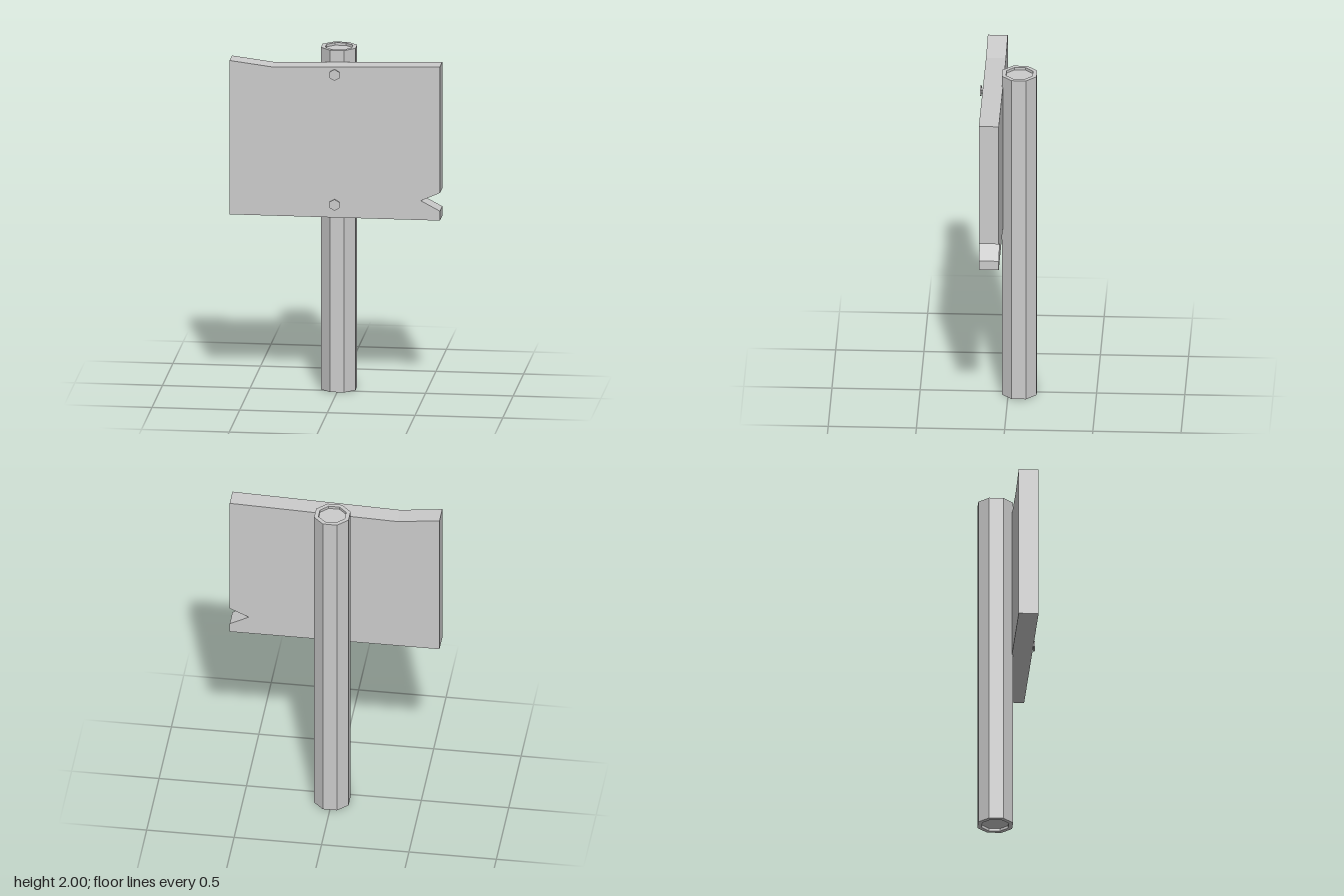
import * as THREE from 'three';

const material = new THREE.MeshStandardMaterial({ color: 0xcccccc, flatShading: true });

function part(name, geometry, parent) {
  const mesh = new THREE.Mesh(geometry, material);
  mesh.name = name;
  parent.add(mesh);
  return mesh;
}

const points = (list) => list.map(([x, y]) => new THREE.Vector2(x, y));

export function createModel() {
  const model = new THREE.Group();
  model.name = 'signpost';

  // Octagonal post, flats facing front and back, shallow recess at both ends
  const outer = 0.0985 / Math.cos(Math.PI / 8);
  const inner = 0.075 / Math.cos(Math.PI / 8);
  const recess = 0.015;
  const profile = points([
    [0, recess], [inner, recess], [inner, 0], [outer, 0],
    [outer, 2], [inner, 2], [inner, 2 - recess], [0, 2 - recess],
  ]);
  const post = part('post', new THREE.LatheGeometry(profile, 8, Math.PI / 8), model);
  post.position.z = -0.063;

  // Plank with a worn top edge and a split on its left side
  const outline = new THREE.Shape(points([
    [-0.6, 1.05], [0.6, 1.05], [0.6, 1.105], [0.49, 1.163],
    [0.6, 1.212], [0.6, 1.95], [-0.36, 1.92], [-0.6, 1.95],
  ]));
  const board = part('board', new THREE.ExtrudeGeometry(outline, { depth: 0.113, bevelEnabled: false }), model);
  board.position.z = 0.029;

  // Hexagonal bolts: a short shank and a wider head
  for (const [name, y] of [['upperBolt', 1.887], ['lowerBolt', 1.127]]) {
    const bolt = new THREE.Group();
    bolt.name = name;
    bolt.position.set(0, y, 0.142);
    for (const [label, radius, start, end] of [['shank', 0.018, -0.005, 0.01], ['head', 0.033, 0.01, 0.019]]) {
      // Turning the axis onto z leaves a hexagon corner pointing up
      const geometry = new THREE.CylinderGeometry(radius, radius, end - start, 6).rotateX(Math.PI / 2);
      part(label, geometry, bolt).position.z = (start + end) / 2;
    }
    model.add(bolt);
  }

  return model;
}
